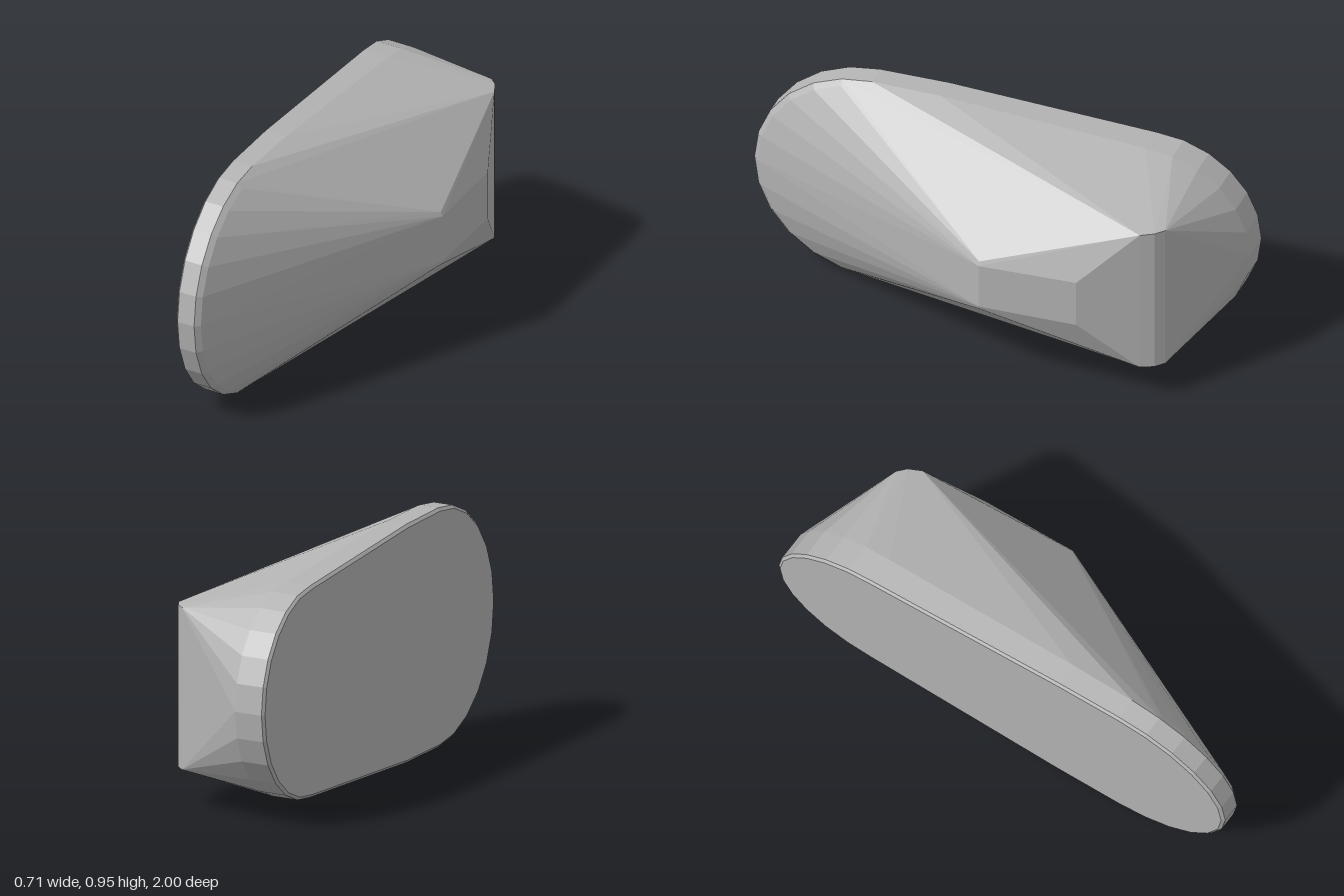
import * as THREE from 'three';
import { ConvexGeometry } from 'three/addons/geometries/ConvexGeometry.js';

const MID = 0.476;

// Long rounded outline in the z-y plane, shrunk by an inset, as [z, y] pairs
function outline(inset) {
  const pts = [];
  const arc = (cz, r, start) => {
    for (let i = 0; i <= 12; i++) {
      const a = start + (i / 12) * Math.PI;
      pts.push([cz + (r - inset) * Math.cos(a), MID + (r - inset) * Math.sin(a)]);
    }
  };
  arc(0.525, 0.475, -Math.PI / 2);
  arc(-0.58, 0.42, Math.PI / 2);
  // straight shoulder behind the wide end
  for (const s of [-1, 1]) pts.push([0.25, MID + s * (0.473 - inset)]);
  return pts;
}

export function createModel() {
  const group = new THREE.Group();
  const grey = new THREE.MeshStandardMaterial({ color: 0xb4b4b4 });
  grey.name = 'plain grey';

  const points = [];
  const add = (x, y, z) => points.push(new THREE.Vector3(x, y, z));
  const baseX = (z) => -0.258 + 0.096 * z;
  const rimDepth = (z) => 0.107 - 0.022 * z;

  // Tilted flat base with a fine chamfer
  for (const [z, y] of outline(0.012)) add(baseX(z), y, z);
  for (const [z, y] of outline(0)) {
    add(baseX(z) + 0.01, y, z);
    add(baseX(z) + rimDepth(z), y, z);
  }
  // Chamfer on the inner edge of the wide end
  for (const [z, y] of outline(0.02)) if (z > 0.5) add(baseX(z) + rimDepth(z) + 0.02, y, z);

  // Raised crest, mirrored above and below the middle
  for (const s of [-1, 1]) {
    add(0.14, MID + s * 0.322, -0.8);
    add(0.175, MID + s * 0.322, -0.77);
    add(0.203, MID + s * 0.32, -0.72);
    add(0.312, MID + s * 0.102, -0.5);
    add(0.345, MID + s * 0.115, -0.11);
    add(0.353, MID + s * 0.098, -0.11);
  }

  const body = new THREE.Mesh(new ConvexGeometry(points), grey);
  body.name = 'body';
  group.add(body);
  return group;
}
